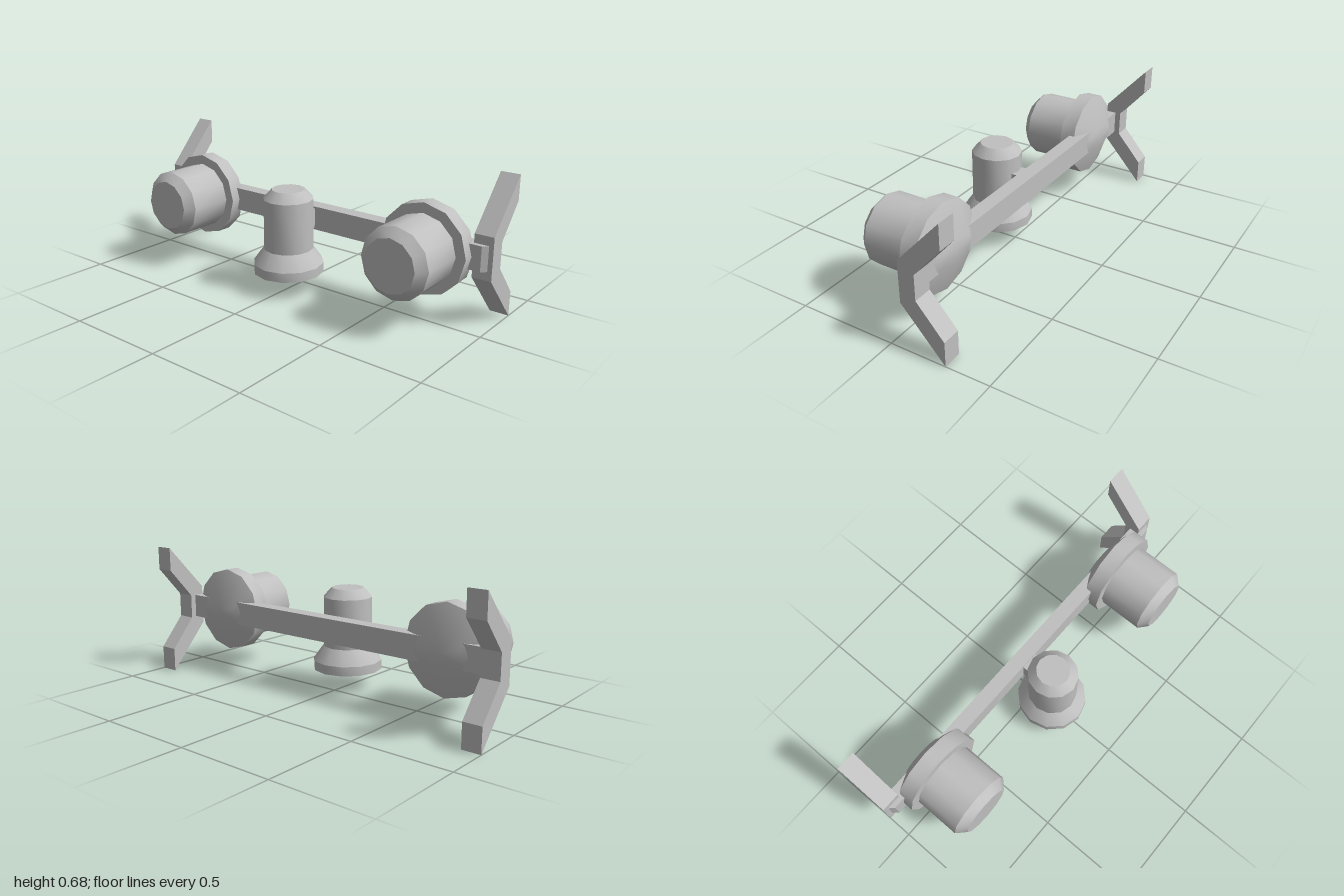
import * as THREE from 'three';
import { toCreasedNormals } from 'three/addons/utils/BufferGeometryUtils.js';

const SIDES = 12;

// Twelve-sided turned solid: smooth round the axis, sharp at profile corners
function turned(profile, reshape) {
  const points = profile.map(([r, y]) => new THREE.Vector2(r, y));
  const geo = new THREE.LatheGeometry(points, SIDES);
  if (reshape) reshape(geo);
  return toCreasedNormals(geo, 0.6);
}

// Flat outline extruded by a depth
function extruded(outline, depth) {
  const shape = new THREE.Shape(outline.map(([a, b]) => new THREE.Vector2(a, b)));
  return new THREE.ExtrudeGeometry(shape, { depth, bevelEnabled: false });
}

export function createModel() {
  const model = new THREE.Group();
  model.name = 'model';
  const grey = new THREE.MeshStandardMaterial({ color: 0xc0c0c0 });
  grey.name = 'light grey';

  const add = (name, geo, x = 0, y = 0, z = 0) => {
    const mesh = new THREE.Mesh(geo, grey);
    mesh.name = name;
    mesh.position.set(x, y, z);
    model.add(mesh);
    return mesh;
  };

  // Long cross bar with chamfered front corners (plan outline, y = -z)
  const bar = extruded([
    [-0.955, 0.045], [0.955, 0.045], [0.98, 0.07], [0.98, 0.119],
    [-0.98, 0.119], [-0.98, 0.07],
  ].map(([x, z]) => [x, z]), 0.12);
  bar.rotateX(-Math.PI / 2);
  add('crossBar', bar, 0, 0.28, 0);

  // Central upright pod, slightly narrower across
  const centre = turned([
    [0, 0.1], [0.179, 0.1], [0.179, 0.147], [0.126, 0.22],
    [0.126, 0.472], [0.083, 0.518], [0, 0.518],
  ]);
  add('centrePod', centre, 0, 0, 0.106).scale.x = 0.968;
  add('centreConnector', new THREE.BoxGeometry(0.09, 0.1, 0.09), 0, 0.34, -0.02);

  // Side pods: body, collar and a back that narrows to an oval
  const pod = turned([
    [0, -0.135], [0.11, -0.135], [0.22, -0.073], [0.22, 0.006],
    [0.171, 0.006], [0.171, 0.233], [0.128, 0.275], [0, 0.275],
  ], (geo) => {
    geo.rotateX(Math.PI / 2);
    const p = geo.attributes.position;
    for (let i = 0; i < p.count; i++) {
      if (p.getZ(i) < -0.1) p.setY(i, p.getY(i) * 0.52);
    }
  });

  // Swept end fins, outlined in side profile (a = -z, b = y)
  const fin = extruded([
    [0.068, 0.238], [0.284, 0.0], [0.284, 0.122], [0.149, 0.276],
    [0.149, 0.402], [0.284, 0.556], [0.284, 0.678], [0.068, 0.443],
  ], 0.094);
  fin.translate(0, 0, -0.047);
  fin.rotateY(Math.PI / 2);

  for (const [side, s] of [['left', 1], ['right', -1]]) {
    add(side + 'Pod', pod, s * 0.69, 0.34, 0);
    add(side + 'Fin', fin, s * 0.953, 0, 0);
  }
  return model;
}
